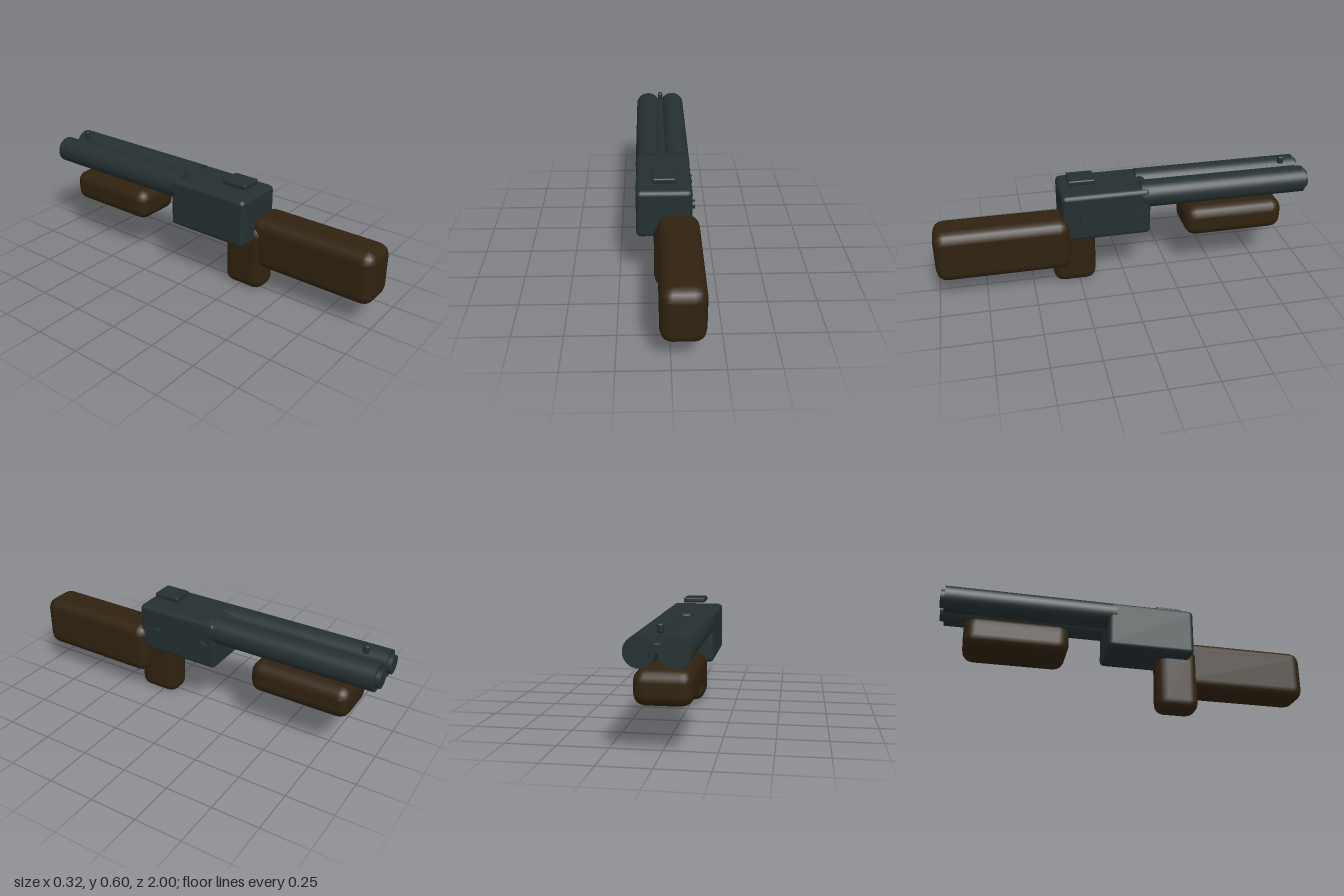
import * as THREE from 'three';
import { RoundedBoxGeometry } from 'three/addons/geometries/RoundedBoxGeometry.js';

export function createModel() {
  const group = new THREE.Group();
  group.name = 'doubleBarrelToy';

  const metal = new THREE.MeshStandardMaterial({ color: 0x253031 });
  metal.name = 'dark metal';
  const wood = new THREE.MeshStandardMaterial({ color: 0x302210 });
  wood.name = 'dark wood';

  const add = (name, geometry, material, x, y, z) => {
    const mesh = new THREE.Mesh(geometry, material);
    mesh.name = name;
    mesh.position.set(x, y, z);
    group.add(mesh);
    return mesh;
  };

  // Rounded block given by its extents along each axis
  const block = (name, material, [x0, x1], [y0, y1], [z0, z1], radius, segments = 2) =>
    add(name, new RoundedBoxGeometry(x1 - x0, y1 - y0, z1 - z0, segments, radius),
      material, (x0 + x1) / 2, (y0 + y1) / 2, (z0 + z1) / 2);

  // Wooden furniture
  block('stock', wood, [-0.052, 0.16], [0.131, 0.413], [0.298, 1], 0.058);
  block('grip', wood, [-0.069, 0.083], [0, 0.37], [0.158, 0.388], 0.055);
  block('foreEnd', wood, [-0.151, 0.121], [0.223, 0.391], [-0.868, -0.329], 0.058);

  // Receiver and the plate above it
  block('receiver', metal, [-0.157, 0.124], [0.285, 0.543], [-0.127, 0.34], 0.024);
  block('topLever', metal, [-0.074, 0.042], [0.565, 0.592], [0.152, 0.292], 0.008);

  // Two barrels with a raised disc on each muzzle
  for (const [side, x] of [['right', -0.091], ['left', 0.059]]) {
    add(side + 'Barrel', new THREE.CylinderGeometry(0.07, 0.07, 0.896, 32),
      metal, x, 0.491, -0.53).rotation.x = Math.PI / 2;
    add(side + 'Muzzle', new THREE.CylinderGeometry(0.048, 0.048, 0.03, 32),
      metal, x, 0.491, -0.985).rotation.x = Math.PI / 2;
  }

  // Rib between the barrels and the bead sight above it
  block('rib', metal, [-0.033, 0.001], [0.485, 0.529], [-0.974, -0.1], 0.005);
  block('beadSight', metal, [-0.03, -0.002], [0.557, 0.6], [-0.896, -0.864], 0.01);

  // Side pins
  for (const z of [0.226, -0.057]) {
    add('sidePin', new THREE.CylinderGeometry(0.023, 0.023, 0.03, 20),
      metal, 0.127, 0.413, z).rotation.z = Math.PI / 2;
  }

  return group;
}
